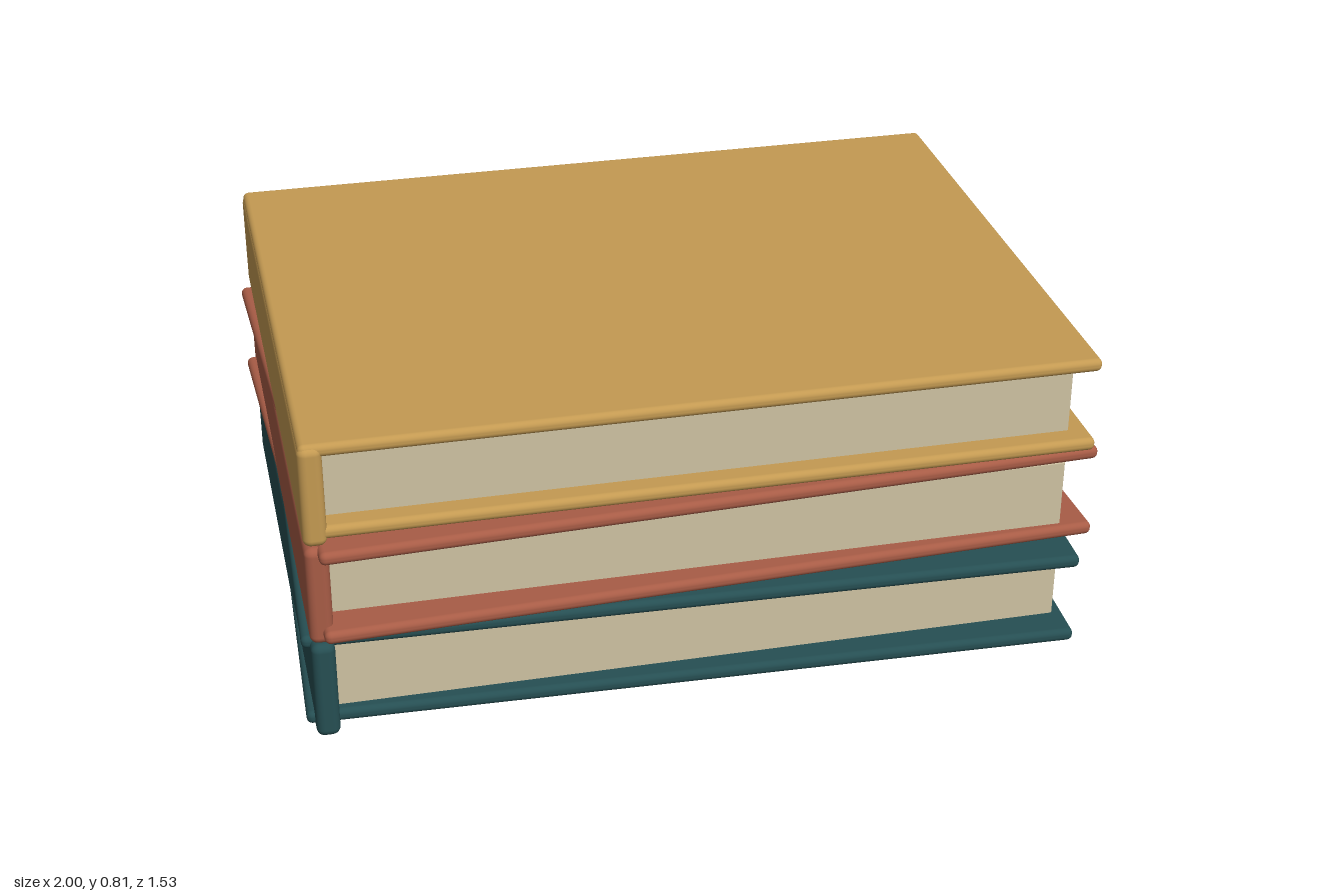
import * as THREE from 'three';
import { RoundedBoxGeometry } from 'three/addons/geometries/RoundedBoxGeometry.js';

const PITCH = 0.2685; // height of one book in the stack

function roundedPart(name, color, size, position, radius) {
  const mesh = new THREE.Mesh(
    new RoundedBoxGeometry(...size, 3, radius),
    new THREE.MeshStandardMaterial({ color })
  );
  mesh.name = name;
  mesh.position.set(...position);
  return mesh;
}

function createBook(name, color, twist) {
  const book = new THREE.Group();
  book.name = name;

  // Boards are slightly twisted against the page block and spine
  for (const [part, y] of [['lowerCover', 0.032], ['upperCover', 0.251]]) {
    const cover = roundedPart(part, color, [1.94, 0.034, 1.45], [-0.005, y, -0.003], 0.015);
    cover.rotation.y = twist;
    book.add(cover);
  }

  // Page block and spine
  book.add(roundedPart('pages', 0xcfc3a3, [1.835, 0.193, 1.325], [-0.003, 0.1315, 0.002], 0.006));
  book.add(roundedPart('spine', color, [0.058, 0.263, 1.456], [-0.949, 0.1315, 0.001], 0.02));
  return book;
}

export function createModel() {
  const stack = new THREE.Group();
  stack.name = 'bookStack';
  const books = [
    ['bottomBook', 0x264f53, -0.033],
    ['middleBook', 0xa85c46, 0.04],
    ['topBook', 0xc49a52, 0],
  ];
  books.forEach(([name, color, twist], i) => {
    const book = createBook(name, color, twist);
    book.position.y = i * PITCH;
    stack.add(book);
  });
  return stack;
}
